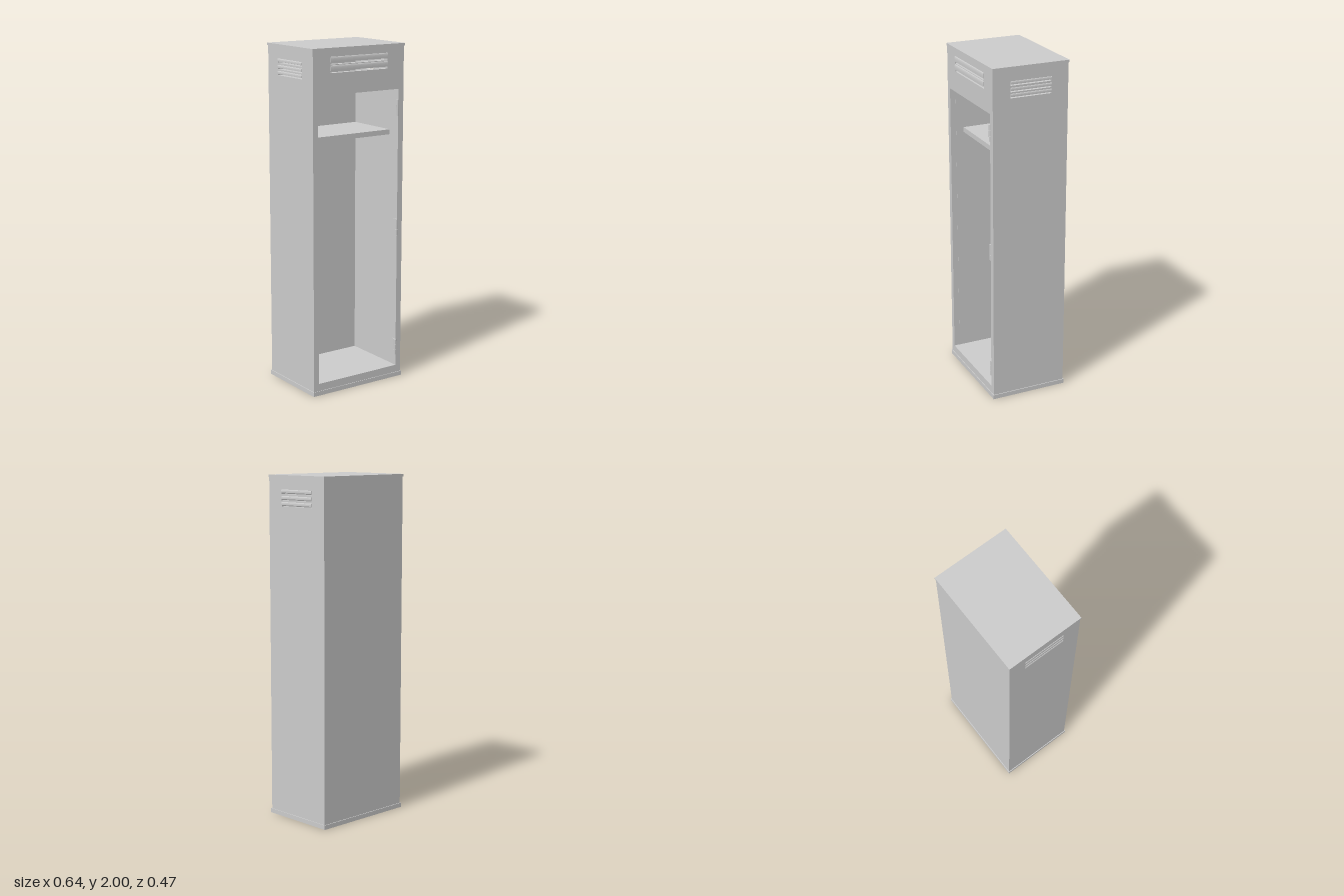
import * as THREE from 'three';

const W = 0.313, FRONT = 0.226, BACK = -0.229, T = 0.034; // shell half width, faces, wall thickness

export function createModel() {
  const locker = new THREE.Group();
  locker.name = 'locker';
  const mat = new THREE.MeshStandardMaterial({ color: 0xcccccc });

  const add = (name, geometry, parent = locker) => {
    const mesh = new THREE.Mesh(geometry, mat);
    mesh.name = name;
    parent.add(mesh);
    return mesh;
  };
  // Box given by its minimum and maximum on each axis
  const box = (name, x0, x1, y0, y1, z0, z1, parent) => {
    const mesh = add(name, new THREE.BoxGeometry(x1 - x0, y1 - y0, z1 - z0), parent);
    mesh.position.set((x0 + x1) / 2, (y0 + y1) / 2, (z0 + z1) / 2);
    return mesh;
  };
  const trace = (path, x0, x1, y0, y1) =>
    path.moveTo(x0, y0).lineTo(x1, y0).lineTo(x1, y1).lineTo(x0, y1).closePath();
  // Flat sheet with rectangular cut-outs, its outer face at z = 0
  const panel = (x0, x1, y0, y1, holes) => {
    const shape = trace(new THREE.Shape(), x0, x1, y0, y1);
    for (const h of holes) shape.holes.push(trace(new THREE.Path(), ...h));
    return new THREE.ExtrudeGeometry(shape, { depth: T, bevelEnabled: false }).translate(0, 0, -T);
  };
  // Louvre hood: a shallow rounded ridge bulging outwards (+z), y measured down from its top
  const hood = (x0, x1, height, out) => {
    const s = new THREE.Shape();
    s.moveTo(0.003, 0);
    s.bezierCurveTo(-out, 0, -out * 1.1, -height * 0.5, -out, -height);
    s.lineTo(0.003, -height);
    s.closePath();
    return new THREE.ExtrudeGeometry(s, { depth: x1 - x0, bevelEnabled: false, curveSegments: 8 })
      .rotateY(Math.PI / 2).translate(x0, 0, 0);
  };
  // Sheet with louvres: an open slot under each hood
  const louvred = (name, rect, holes, x0, x1, tops, height, gap, out) => {
    const group = new THREE.Group();
    group.name = name;
    const slots = tops.map((y) => [x0, x1, y - height - gap, y - height]);
    add(name + 'Sheet', panel(...rect, [...holes, ...slots]), group);
    for (const y of tops) add('louvre', hood(x0, x1, height, out), group).position.y = y;
    locker.add(group);
    return group;
  };

  // Front frame with the doorway and two wide louvres
  louvred('frontFrame', [-W, W, 0.02, 1.99], [[-0.28, 0.277, 0.07, 1.74]],
    -0.197, 0.197, [1.952, 1.905], 0.032, 0.012, 0.005).position.z = FRONT;

  // Side walls with three short louvres each
  for (const s of [1, -1]) {
    const z0 = -0.12, z1 = 0.127;
    const wall = louvred(s > 0 ? 'leftWall' : 'rightWall',
      s > 0 ? [-FRONT + T, -BACK, 0.02, 1.99] : [BACK, FRONT - T, 0.02, 1.99], [],
      s > 0 ? z0 : -z1, s > 0 ? z1 : -z0, [1.92, 1.884, 1.85], 0.018, 0.008, 0.004);
    wall.rotation.y = s * Math.PI / 2;
    wall.position.x = s * W;
  }

  // Back, floor, roof, plinth and shelf
  const inner = W - T;
  box('backWall', -inner, inner, 0.02, 1.99, BACK, BACK + T);
  box('floor', -inner, inner, 0.02, 0.07, BACK + T, FRONT - T);
  box('floorSill', -inner, inner, 0.02, 0.0695, FRONT - T, FRONT - 0.001);
  box('plinth', -0.318, 0.318, 0, 0.026, -0.234, 0.23);
  box('roof', -0.317, 0.317, 1.986, 2, -0.233, 0.229);
  box('shelf', -inner, inner, 1.466, 1.495, BACK + T, 0.145);

  // Hinges on the doorway's edge: three knuckles, a pin and a leaf
  for (const y of [1.632, 0.927, 0.187]) {
    const hinge = new THREE.Group();
    hinge.name = 'hinge';
    hinge.position.set(0.274, y, FRONT - 0.002);
    for (const dy of [-0.032, 0, 0.032]) {
      add('knuckle', new THREE.CylinderGeometry(0.008, 0.008, 0.031, 16), hinge).position.y = dy;
    }
    add('pin', new THREE.CylinderGeometry(0.005, 0.005, 0.096, 12), hinge);
    box('leaf', -0.001, 0.003, -0.047, 0.047, -0.03, 0, hinge);
    locker.add(hinge);
  }
  return locker;
}
